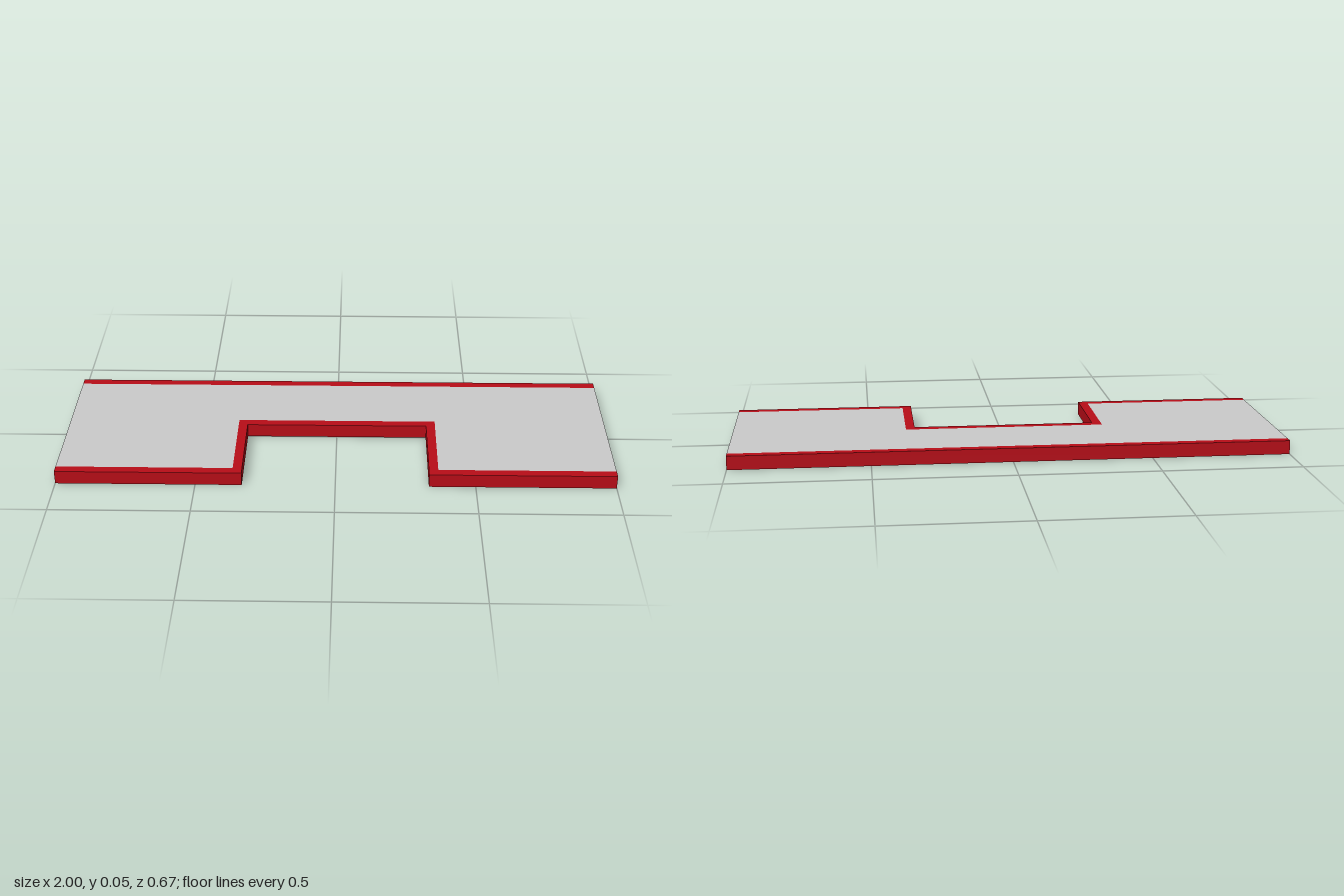
import * as THREE from 'three';

const H = 0.05;    // thickness
const W = 0.0333;  // edging width
const D = 0.3333;  // half depth
const N = 0.3333;  // half width of the notch

// Extrudes an outline given as [x, z] points into a flat plate standing on y = 0.
function plate(name, points, color) {
  const shape = new THREE.Shape(points.map(([x, z]) => new THREE.Vector2(x, z)));
  const geometry = new THREE.ExtrudeGeometry(shape, { depth: H, bevelEnabled: false });
  geometry.rotateX(Math.PI / 2).translate(0, H, 0);
  const mesh = new THREE.Mesh(geometry, new THREE.MeshStandardMaterial({ color }));
  mesh.name = name;
  return mesh;
}

// Stepped front line around the notch, set back by t, from left to right in x.
function frontLine(t) {
  return [
    [-1, D - t], [-N - t, D - t], [-N - t, -t],
    [N + t, -t], [N + t, D - t], [1, D - t],
  ];
}

export function createModel() {
  const group = new THREE.Group();
  group.name = 'notchedPlatform';
  const red = 0xb90d18;

  // Grey slab between the edgings
  group.add(plate('slab', [...frontLine(W), [1, -D + W], [-1, -D + W]], 0xcccccc));

  // Red edging following the notch, and the straight one at the back
  group.add(plate('frontEdging', [...frontLine(0), ...frontLine(W).reverse()], red));
  group.add(plate('backEdging', [[-1, -D], [1, -D], [1, -D + W], [-1, -D + W]], red));

  return group;
}
